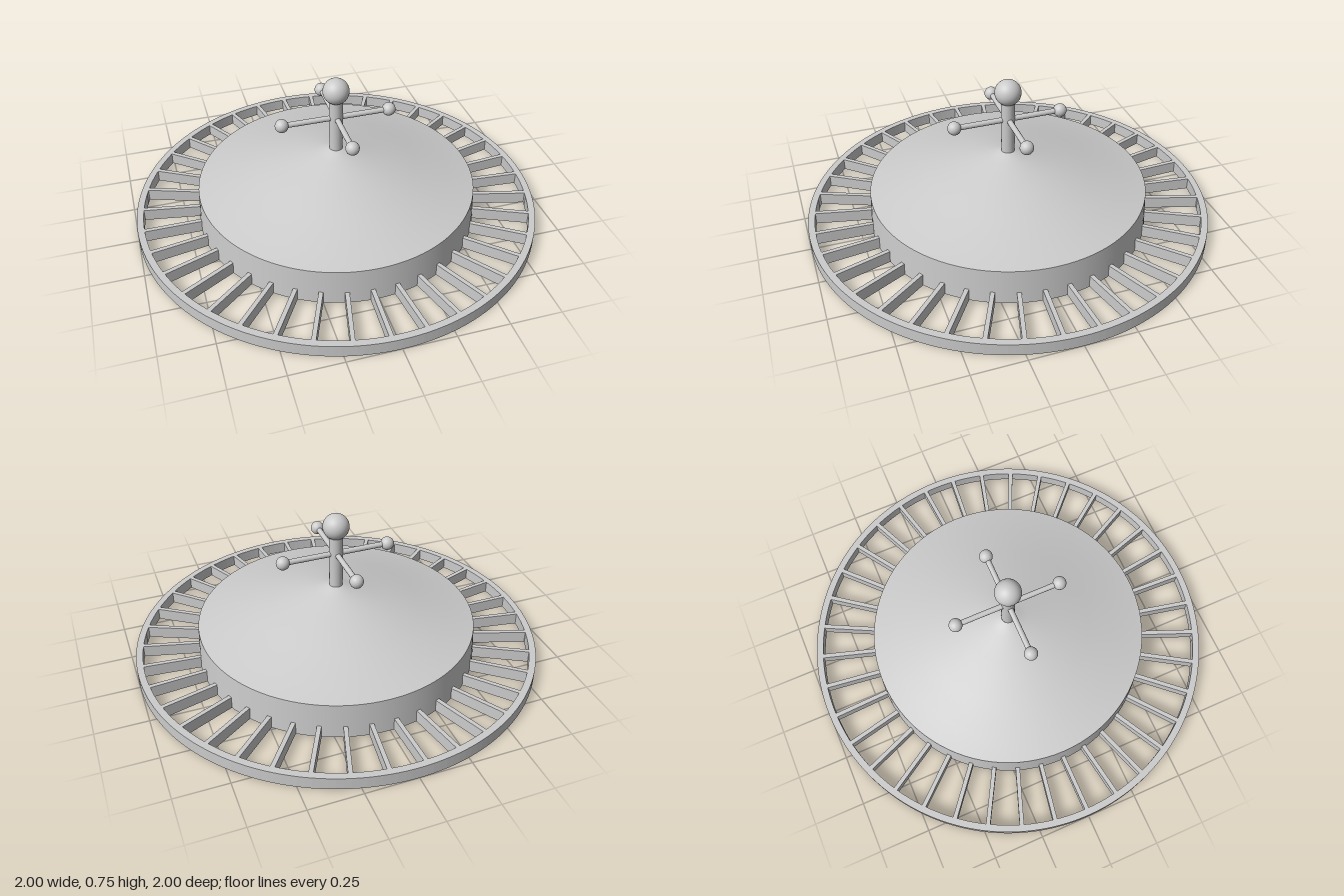
import * as THREE from 'three';

const material = new THREE.MeshStandardMaterial({ color: 0xcccccc, side: THREE.DoubleSide });

function add(parent, name, geometry, x = 0, y = 0, z = 0) {
  const mesh = new THREE.Mesh(geometry, material);
  mesh.name = name;
  mesh.position.set(x, y, z);
  parent.add(mesh);
  return mesh;
}

const lathe = (points) =>
  new THREE.LatheGeometry(points.map(([r, y]) => new THREE.Vector2(r, y)), 96);

export function createModel() {
  const wheel = new THREE.Group();
  wheel.name = 'wheel';

  const rimHeight = 0.06, rimInner = 0.967, hubRadius = 0.693;

  // Outer rim: a flat ring with a square section
  const ring = new THREE.Shape().absarc(0, 0, 1, 0, Math.PI * 2);
  ring.holes.push(new THREE.Path().absarc(0, 0, rimInner, 0, Math.PI * 2, true));
  const rimGeometry = new THREE.ExtrudeGeometry(ring, { depth: rimHeight, bevelEnabled: false, curveSegments: 96 });
  rimGeometry.rotateX(-Math.PI / 2);
  add(wheel, 'rim', rimGeometry);

  // Dividers between the 37 pockets, the first one pointing to -x
  const dividers = new THREE.Group();
  dividers.name = 'dividers';
  wheel.add(dividers);
  const length = rimInner - hubRadius + 0.008;
  const dividerGeometry = new THREE.BoxGeometry(length, rimHeight, 0.021);
  dividerGeometry.translate((rimInner + hubRadius) / 2, rimHeight / 2, 0);
  const count = 37;
  for (let i = 0; i < count; i++) {
    add(dividers, 'divider', dividerGeometry).rotation.y = Math.PI + (i / count) * Math.PI * 2;
  }

  // Hollow hub: slightly tapered wall and a gently curved cone, open below
  add(wheel, 'hubWall', lathe([[hubRadius, 0], [0.685, 0.177]]));
  add(wheel, 'cone', lathe([
    [0.685, 0.177], [0.56, 0.205], [0.4, 0.254], [0.23, 0.306],
    [0.1, 0.339], [0.06, 0.355], [0.033, 0.364],
  ]));

  // Centre post with its ball
  add(wheel, 'post', new THREE.CylinderGeometry(0.033, 0.033, 0.3, 32), 0, 0.514, 0);
  add(wheel, 'topBall', new THREE.SphereGeometry(0.064, 32, 24), 0, 0.684, 0);

  // Four handles, each an arm with a small ball on its end
  const reach = 0.267;
  const armGeometry = new THREE.CylinderGeometry(0.0135, 0.0135, reach, 12);
  armGeometry.rotateZ(Math.PI / 2);
  const knobGeometry = new THREE.SphereGeometry(0.033, 24, 16);
  for (let i = 0; i < 4; i++) {
    const handle = new THREE.Group();
    handle.name = 'handle';
    handle.position.y = 0.538;
    handle.rotation.y = (i * Math.PI) / 2;
    add(handle, 'arm', armGeometry, reach / 2, 0, 0);
    add(handle, 'knob', knobGeometry, reach, 0, 0);
    wheel.add(handle);
  }

  return wheel;
}
